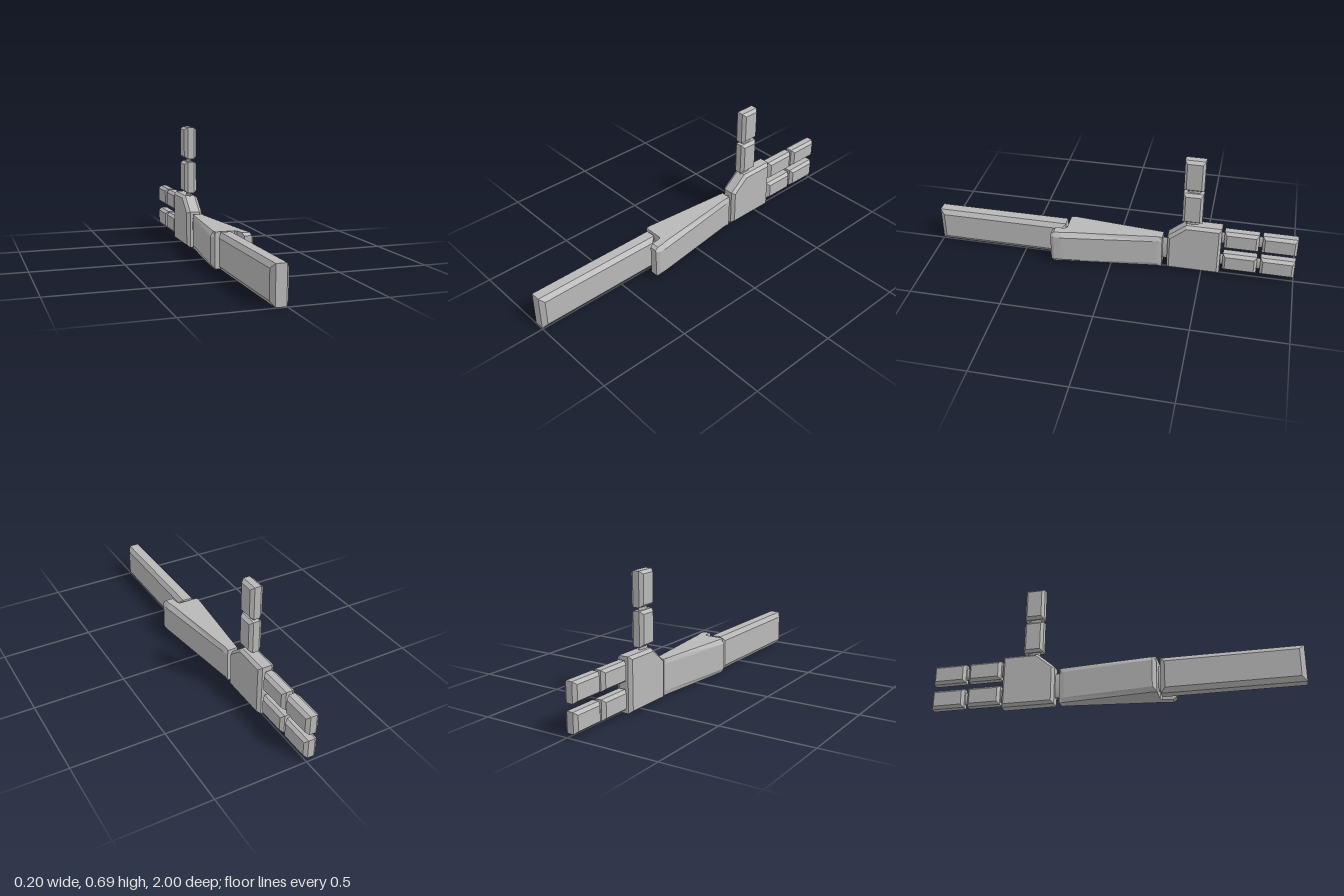
import * as THREE from 'three';

const grey = new THREE.MeshStandardMaterial({ color: 0xb8b8b8 });
grey.name = 'grey';

// Plate outlined in (z, y), running from x0 to x1, with one chamfer on both faces
function plate(name, outline, x0, x1, inset = 0.014, thick = 0.018) {
  const shape = new THREE.Shape(outline.map(([z, y]) => new THREE.Vector2(-z, y)));
  const geo = new THREE.ExtrudeGeometry(shape, {
    depth: x1 - x0 - 2 * thick, bevelEnabled: true, bevelSegments: 1,
    bevelSize: inset, bevelOffset: -inset, bevelThickness: thick,
  });
  geo.translate(0, 0, x0 + thick);
  geo.rotateY(Math.PI / 2);
  const mesh = new THREE.Mesh(geo, grey);
  mesh.name = name;
  return mesh;
}

const rect = (z0, z1, y0, y1) => [[z0, y0], [z1, y0], [z1, y1], [z0, y1]];

// Flattened round pin joining two segments
function pin(name, x, y, z, span, length, vertical) {
  const geo = new THREE.CylinderGeometry(0.5, 0.5, 1, 24);
  if (vertical) geo.scale(0.022, length, span);
  else {
    geo.rotateX(Math.PI / 2);
    geo.scale(0.022, span, length);
  }
  const mesh = new THREE.Mesh(geo, grey);
  mesh.name = name;
  mesh.position.set(x, y, z);
  return mesh;
}

// Chamfered cross-sections joined along z: [z, left x, right x, left cut, right cut, y0, y1, y cut]
function loft(name, sections) {
  const rings = sections.map(([z, a, b, da, db, y0, y1, c]) => [
    [a + da, y0, z], [b - db, y0, z], [b, y0 + c, z], [b, y1 - c, z],
    [b - db, y1, z], [a + da, y1, z], [a, y1 - c, z], [a, y0 + c, z],
  ]);
  const pos = [];
  const tri = (...pts) => pts.forEach((p) => pos.push(...p));
  for (let s = 0; s < rings.length - 1; s++) {
    for (let i = 0; i < 8; i++) {
      const j = (i + 1) % 8, lo = rings[s], hi = rings[s + 1];
      tri(lo[i], lo[j], hi[j]);
      tri(lo[i], hi[j], hi[i]);
    }
  }
  const first = rings[0], last = rings[rings.length - 1];
  for (let i = 1; i < 7; i++) {
    tri(first[0], first[i + 1], first[i]);
    tri(last[0], last[i], last[i + 1]);
  }
  const geo = new THREE.BufferGeometry();
  geo.setAttribute('position', new THREE.Float32BufferAttribute(pos, 3));
  geo.computeVertexNormals();
  const mesh = new THREE.Mesh(geo, grey);
  mesh.name = name;
  return mesh;
}

export function createModel() {
  const arm = new THREE.Group();
  arm.name = 'jointedArm';

  // Upper arm and elbow
  arm.add(plate('upperArm', rect(1, 0.265, 0.004, 0.2), -0.075, 0.015, 0.025));
  arm.add(pin('elbowPin', -0.02, 0.1, 0.255, 0.14, 0.06));

  // Tapered forearm with the elbow hook on its left side
  const forearm = new THREE.Group();
  forearm.name = 'forearm';
  forearm.add(loft('forearmBody', [
    [-0.28, -0.042, 0.018, 0.002, 0.002, 0.004, 0.2, 0.025],
    [-0.255, -0.049, 0.025, 0.007, 0.012, 0.004, 0.2, 0.025],
    [0.23, -0.102, 0.094, 0.017, 0.022, 0.004, 0.2, 0.025],
    [0.25, -0.084, 0.097, 0.003, 0.022, 0.004, 0.2, 0.025],
  ]));
  forearm.add(loft('elbowHook', [
    [0.25, 0.024, 0.097, 0, 0.022, 0.004, 0.2, 0.025],
    [0.258, 0.034, 0.098, 0, 0.021, 0.004, 0.2, 0.025],
    [0.28, 0.038, 0.1, 0, 0.018, 0.004, 0.2, 0.025],
    [0.312, 0.041, 0.1, 0, 0.016, 0.004, 0.2, 0.025],
    [0.33, 0.047, 0.09, 0, 0.004, 0.018, 0.186, 0.008],
  ]));
  arm.add(forearm);

  // Hand
  arm.add(pin('wristPin', -0.02, 0.11, -0.295, 0.14, 0.06));
  arm.add(plate('hand',
    [[-0.307, 0.002], [-0.598, 0.002], [-0.598, 0.292], [-0.405, 0.292], [-0.307, 0.21]],
    -0.066, 0.024));

  // Two fingers of two segments each
  for (const [name, y] of [['upperFinger', 0.222], ['lowerFinger', 0.078]]) {
    const finger = new THREE.Group();
    finger.name = name;
    for (const [z0, z1] of [[-0.612, -0.797], [-0.815, -1]]) {
      finger.add(plate('fingerSegment', rect(z0, z1, y - 0.053, y + 0.053), -0.057, 0.015));
      finger.add(pin('fingerPin', -0.021, y, z0 + 0.008, 0.07, 0.05));
    }
    arm.add(finger);
  }

  // Upright thumb
  const thumb = new THREE.Group();
  thumb.name = 'thumb';
  for (const y of [0.31, 0.51]) {
    thumb.add(plate('thumbSegment', rect(-0.38, -0.488, y, y + 0.182), -0.057, 0.015));
    thumb.add(pin('thumbPin', -0.021, y - 0.009, -0.434, 0.07, 0.05, true));
  }
  arm.add(thumb);

  return arm;
}
